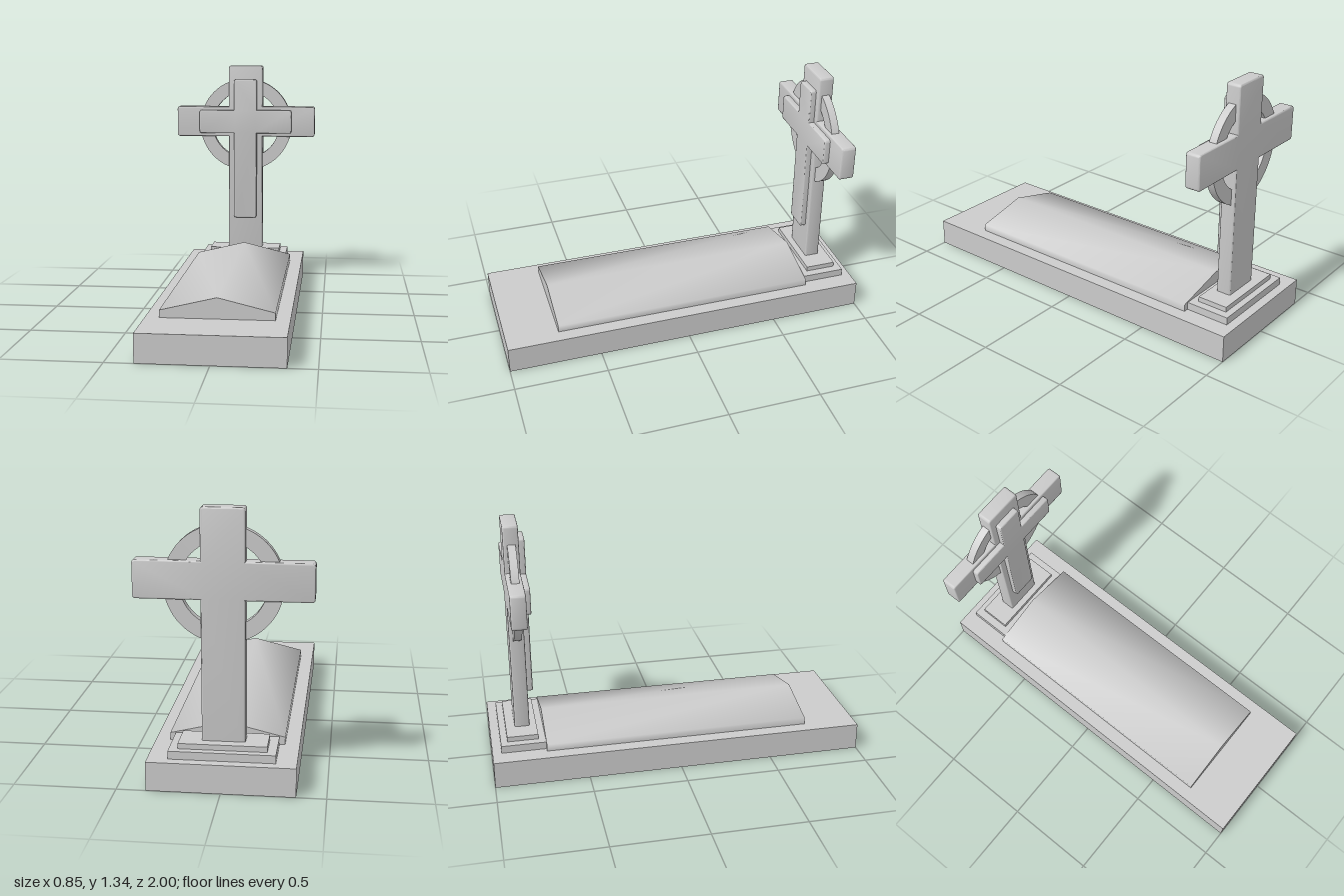
import * as THREE from 'three';
import { toCreasedNormals } from 'three/addons/utils/BufferGeometryUtils.js';

const material = new THREE.MeshStandardMaterial({ color: 0xcccccc });

function addMesh(group, name, geometry, x = 0, y = 0, z = 0) {
  const mesh = new THREE.Mesh(geometry, material);
  mesh.name = name;
  mesh.position.set(x, y, z);
  group.add(mesh);
}

// Box given by its width and its limits in y and z
function addSlab(group, name, width, y0, y1, z0, z1) {
  addMesh(group, name, new THREE.BoxGeometry(width, y1 - y0, z1 - z0), 0, (y0 + y1) / 2, (z0 + z1) / 2);
}

// Latin cross outline with softened ends, inset to leave room for the bevel
function crossShape({ shaft, arm, bottom, top, armBottom, armTop }, inset, r) {
  const s = shaft - inset, a = arm - inset;
  const b = bottom + inset, t = top - inset;
  const ab = armBottom + inset, at = armTop - inset;
  const shape = new THREE.Shape();
  shape.moveTo(-s + r, b);
  shape.lineTo(s - r, b);
  shape.quadraticCurveTo(s, b, s, b + r);
  shape.lineTo(s, ab);
  shape.lineTo(a - r, ab);
  shape.quadraticCurveTo(a, ab, a, ab + r);
  shape.lineTo(a, at - r);
  shape.quadraticCurveTo(a, at, a - r, at);
  shape.lineTo(s, at);
  shape.lineTo(s, t - r);
  shape.quadraticCurveTo(s, t, s - r, t);
  shape.lineTo(-s + r, t);
  shape.quadraticCurveTo(-s, t, -s, t - r);
  shape.lineTo(-s, at);
  shape.lineTo(-a + r, at);
  shape.quadraticCurveTo(-a, at, -a, at - r);
  shape.lineTo(-a, ab + r);
  shape.quadraticCurveTo(-a, ab, -a + r, ab);
  shape.lineTo(-s, ab);
  shape.lineTo(-s, b + r);
  shape.quadraticCurveTo(-s, b, -s + r, b);
  return shape;
}

function addCross(group, name, size, z0, z1, bevel) {
  const geometry = new THREE.ExtrudeGeometry(crossShape(size, bevel, 0.008), {
    depth: z1 - z0 - 2 * bevel,
    bevelSize: bevel,
    bevelThickness: bevel,
    bevelSegments: 3,
    curveSegments: 4,
  });
  addMesh(group, name, toCreasedNormals(geometry, 0.7), 0, 0, z0 + bevel);
}

export function createModel() {
  const model = new THREE.Group();
  model.name = 'graveWithCross';

  // Plinth and the two steps under the cross
  addSlab(model, 'base', 0.714, 0, 0.145, -1, 1);
  addSlab(model, 'lowerStep', 0.515, 0.145, 0.185, -0.952, -0.712);
  addSlab(model, 'upperStep', 0.428, 0.185, 0.212, -0.917, -0.752);

  // Gabled grave cover, shaded smoothly over ridge and eaves
  const gable = new THREE.Shape([
    [-0.285, 0.145], [0.285, 0.145], [0.285, 0.183], [0, 0.252], [-0.285, 0.183],
  ].map(([x, y]) => new THREE.Vector2(x, y)));
  const cover = new THREE.ExtrudeGeometry(gable, { depth: 1.43, bevelEnabled: false });
  addMesh(model, 'graveCover', toCreasedNormals(cover, 1.42), 0, 0, -0.715);

  // Standing cross with a raised panel on its front
  const cross = new THREE.Group();
  cross.name = 'cross';
  model.add(cross);
  addCross(cross, 'crossBody', {
    shaft: 0.105, arm: 0.426, bottom: 0.195, top: 1.341, armBottom: 0.905, armTop: 1.09,
  }, -0.868, -0.788, 0.008);
  addCross(cross, 'raisedPanel', {
    shaft: 0.07, arm: 0.284, bottom: 0.4, top: 1.257, armBottom: 0.927, armTop: 1.069,
  }, -0.8, -0.757, 0.006);

  // Ring behind the crossing of the arms
  const ring = new THREE.Shape().absarc(0, 0, 0.283, 0, Math.PI * 2);
  ring.holes.push(new THREE.Path().absarc(0, 0, 0.206, 0, Math.PI * 2, true));
  const ringGeometry = new THREE.ExtrudeGeometry(ring, { depth: 0.042, bevelEnabled: false, curveSegments: 32 });
  addMesh(cross, 'ring', toCreasedNormals(ringGeometry, 0.7), 0, 0.978, -0.847);

  return model;
}
